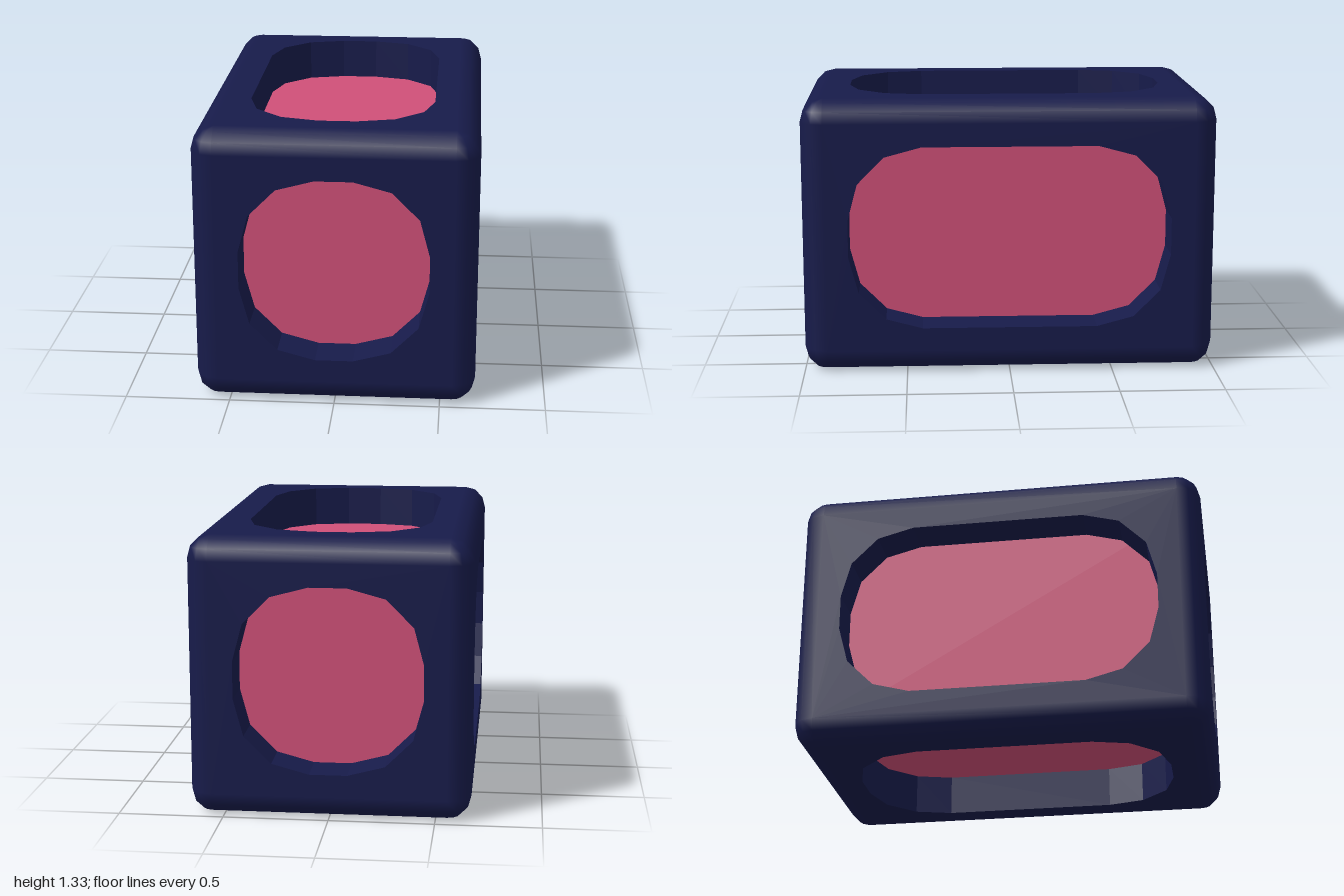
import * as THREE from 'three';

const HALF = [2 / 3, 2 / 3, 1]; // half sizes of the body
const R = 1 / 9;                // edge rounding
const STEPS = 3;                // segments per rounded corner
const DEPTH = 0.2;              // depth of the windows
const MARGIN = 2 / 9;           // border around each window
const WINDOW_R = 0.355;

const navy = new THREE.MeshStandardMaterial({ color: 0x171b4a });
const pink = new THREE.MeshStandardMaterial({ color: 0xd05078 });

// Rounded edges and corners: a sphere split into octants pushed apart, without the flat faces
function roundedEdges() {
  const [cx, cy, cz] = HALF.map(h => h - R);
  const n = STEPS + 1, cols = 4 * n, rows = 2 * n;
  const pos = [], nor = [], idx = [];
  for (let j = 0; j < rows; j++) {
    const low = j >= n;
    const t = ((j % n) / STEPS + (low ? 1 : 0)) * Math.PI / 2;
    for (let i = 0; i < cols; i++) {
      const q = Math.floor(i / n);
      const p = ((i % n) / STEPS + q) * Math.PI / 2;
      const d = [Math.sin(t) * Math.sin(p), Math.cos(t), Math.sin(t) * Math.cos(p)];
      nor.push(...d);
      pos.push(
        d[0] * R + (q < 2 ? cx : -cx),
        d[1] * R + (low ? -cy : cy),
        d[2] * R + (q === 0 || q === 3 ? cz : -cz));
    }
  }
  for (let j = 0; j < rows - 1; j++) {
    for (let i = 0; i < cols; i++) {
      if (j === n - 1 && i % n === n - 1) continue; // flat side, filled by a panel
      const k = (i + 1) % cols;
      const a = j * cols + i, b = j * cols + k, c = a + cols, e = b + cols;
      idx.push(a, c, e, a, e, b);
    }
  }
  const g = new THREE.BufferGeometry();
  g.setAttribute('position', new THREE.Float32BufferAttribute(pos, 3));
  g.setAttribute('normal', new THREE.Float32BufferAttribute(nor, 3));
  g.setIndex(idx);
  return g;
}

// Outline of a rectangle with faceted round corners
function windowPoints(w, h) {
  const pts = [];
  for (let q = 0; q < 4; q++) {
    const sx = q === 0 || q === 3 ? 1 : -1, sy = q < 2 ? 1 : -1;
    for (let i = 0; i <= STEPS; i++) {
      const a = (q + i / STEPS) * Math.PI / 2;
      pts.push(new THREE.Vector2(
        sx * (w - WINDOW_R) + WINDOW_R * Math.cos(a),
        sy * (h - WINDOW_R) + WINDOW_R * Math.sin(a)));
    }
  }
  return pts;
}

// Flat panel with a window cut through it; its outer face lies on z = 0
function panelGeometry(w, h) {
  const x = w - R, y = h - R;
  const shape = new THREE.Shape([[-x, -y], [x, -y], [x, y], [-x, y]].map(p => new THREE.Vector2(...p)));
  shape.holes.push(new THREE.Path(windowPoints(w - MARGIN, h - MARGIN)));
  return new THREE.ExtrudeGeometry(shape, { depth: DEPTH, bevelEnabled: false }).translate(0, 0, -DEPTH);
}

export function createModel() {
  const model = new THREE.Group();
  const body = new THREE.Group();
  body.name = 'body';
  body.position.y = HALF[1];
  model.add(body);

  const add = (geometry, material, name) => {
    const mesh = new THREE.Mesh(geometry, material);
    mesh.name = name;
    body.add(mesh);
    return mesh;
  };

  add(roundedEdges(), navy, 'roundedEdges');

  // Core showing as the floor of every window
  add(new THREE.BoxGeometry(...HALF.map(h => 2 * (h - DEPTH))), pink, 'core');

  // Six windowed panels: name, half width, half height, distance, rotation
  const [X, Y, Z] = HALF, Q = Math.PI / 2;
  const panels = [
    ['frontPanel', X, Y, Z, 0, 0], ['backPanel', X, Y, Z, 0, 2 * Q],
    ['leftPanel', Z, Y, X, 0, Q], ['rightPanel', Z, Y, X, 0, -Q],
    ['topPanel', X, Z, Y, -Q, 0], ['bottomPanel', X, Z, Y, Q, 0],
  ];
  for (const [name, w, h, dist, rx, ry] of panels) {
    const panel = add(panelGeometry(w, h), navy, name);
    panel.rotation.set(rx, ry, 0);
    panel.translateZ(dist);
  }
  return model;
}
